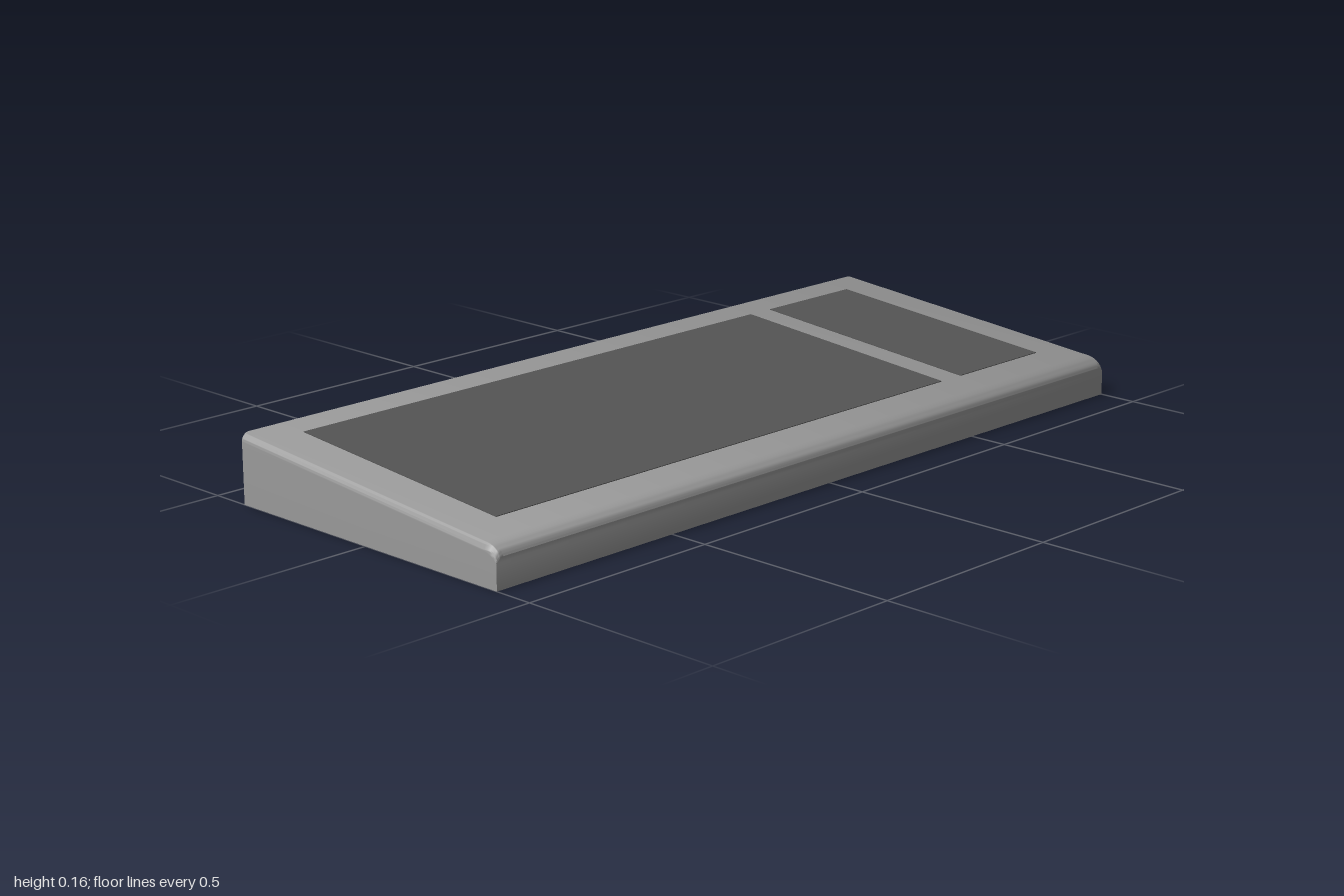
import * as THREE from 'three';
import { toCreasedNormals } from 'three/addons/utils/BufferGeometryUtils.js';

const HALF_Z = 0.405, FILLET_Z = 0.36, EDGE = 0.02, BASE_TOP = 0.1, ARC_STEPS = 8;
const slope = (z) => 0.097 + (FILLET_Z - z) * 0.0863;

// Wedge body: rounded-shoulder section swept back to front, its top lifted to the slope
function wedgeGeometry() {
  const s = new THREE.Shape();
  s.moveTo(-1, 0);
  s.lineTo(1, 0);
  s.lineTo(1, BASE_TOP - EDGE);
  s.absarc(1 - EDGE, BASE_TOP - EDGE, EDGE, 0, Math.PI / 2, false);
  s.absarc(-1 + EDGE, BASE_TOP - EDGE, EDGE, Math.PI / 2, Math.PI, false);
  s.lineTo(-1, 0);
  const steps = ARC_STEPS + 1;
  const g = new THREE.ExtrudeGeometry(s, { depth: steps, steps, bevelEnabled: false, curveSegments: 8 });
  const p = g.attributes.position;
  for (let i = 0; i < p.count; i++) {
    const row = Math.round(p.getZ(i));
    let z = -HALF_Z, top = slope(z);
    if (row > 0) {
      // Rounded front lip
      const a = ((row - 1) / ARC_STEPS) * Math.PI / 2;
      z = FILLET_Z + (HALF_Z - FILLET_Z) * Math.sin(a);
      top = 0.07 + 0.027 * Math.cos(a);
    }
    p.setZ(i, z);
    if (p.getY(i) > 0.01) p.setY(i, p.getY(i) + top - BASE_TOP);
  }
  return toCreasedNormals(g, 0.6);
}

// Thin key-area plate lying on the sloped top
function plate(name, x0, x1, z0, z1, material) {
  const g = new THREE.BoxGeometry(x1 - x0, 0.004, z1 - z0);
  g.translate((x0 + x1) / 2, 0, (z0 + z1) / 2);
  const p = g.attributes.position;
  for (let i = 0; i < p.count; i++) p.setY(i, p.getY(i) + slope(p.getZ(i)) - 0.0005);
  g.computeVertexNormals();
  const m = new THREE.Mesh(g, material);
  m.name = name;
  return m;
}

export function createModel() {
  const caseGrey = new THREE.MeshStandardMaterial({ color: 0x999999 });
  caseGrey.name = 'case grey';
  const keyGrey = new THREE.MeshStandardMaterial({ color: 0x555555 });
  keyGrey.name = 'dark key grey';

  const model = new THREE.Group();
  model.name = 'keyboard';
  const body = new THREE.Mesh(wedgeGeometry(), caseGrey);
  body.name = 'case';
  model.add(body);
  model.add(plate('mainKeyArea', -0.89, 0.53, -0.33, 0.285, keyGrey));
  model.add(plate('numberPad', 0.6, 0.89, -0.33, 0.285, keyGrey));
  return model;
}
